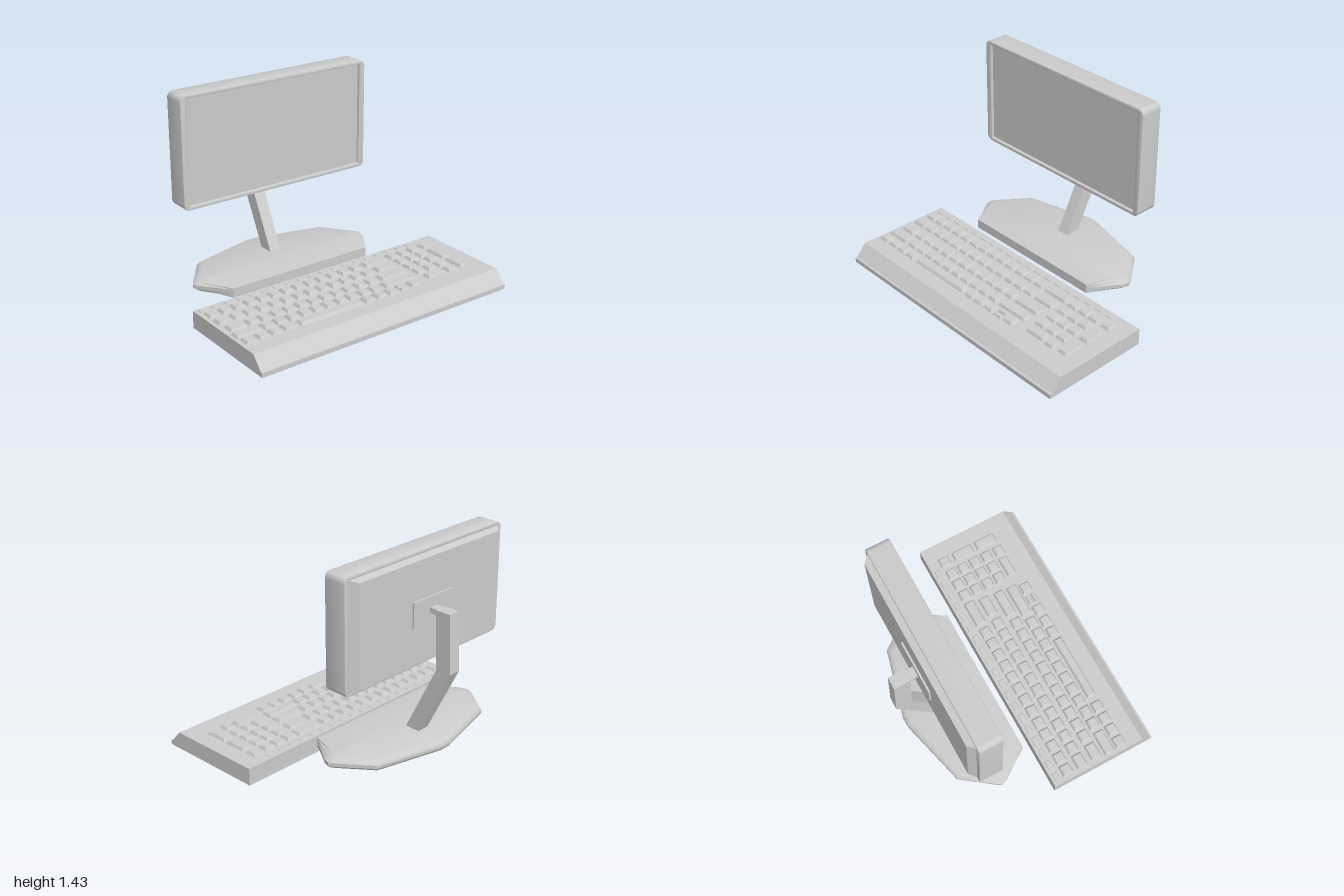
import * as THREE from 'three';
import { toCreasedNormals } from 'three/addons/utils/BufferGeometryUtils.js';

const material = new THREE.MeshStandardMaterial({ color: 0xcccccc });
const MID_Z = 0.097; // centre line of the monitor and its stand

function add(parent, name, geometry, x = 0, y = 0, z = 0) {
  const mesh = new THREE.Mesh(geometry, material);
  mesh.name = name;
  mesh.position.set(x, y, z);
  parent.add(mesh);
  return mesh;
}

// Box whose top face is smaller than its base, standing on y = 0
function frustum(w, h, d, topW, topD) {
  const g = new THREE.BoxGeometry(w, h, d).translate(0, h / 2, 0).toNonIndexed();
  const p = g.attributes.position;
  for (let i = 0; i < p.count; i++) {
    if (p.getY(i) > h / 2) p.setXYZ(i, p.getX(i) * topW / w, h, p.getZ(i) * topD / d);
  }
  g.computeVertexNormals();
  return g;
}

// Side profile in x-y, extruded between two z values
function profile(points, z0, z1) {
  const shape = new THREE.Shape(points.map(([x, y]) => new THREE.Vector2(x, y)));
  return new THREE.ExtrudeGeometry(shape, { depth: z1 - z0, bevelEnabled: false }).translate(0, 0, z0);
}

function roundedRect(path, w, h, r) {
  const x = w / 2, y = h / 2;
  path.absarc(x - r, y - r, r, 0, Math.PI / 2);
  path.absarc(-x + r, y - r, r, Math.PI / 2, Math.PI);
  path.absarc(-x + r, -y + r, r, Math.PI, Math.PI * 1.5);
  path.absarc(x - r, -y + r, r, Math.PI * 1.5, Math.PI * 2);
  path.closePath();
  return path;
}

// Stand foot: stacked outlines, rounded at the rim and flat at the front edge
function footGeometry() {
  const half = [[-0.088, 0.555], [-0.3, 0.7], [-0.34, 0.712], [-0.37, 0.695], [-0.59, 0.53], [-0.715, 0.04]];
  const ring = [...half, ...half.map(([x, z]) => [x, -z]).reverse()];
  const layers = [[0.076, 0.91], [0.088, 0.97], [0.105, 1], [0.13, 1], [0.148, 0.97], [0.16, 0.91]];
  const cx = -0.3, n = ring.length, pos = [], index = [];
  for (const [y, s] of layers) {
    for (const [x, z] of ring) {
      const front = x > -0.1;
      pos.push(front ? x : cx + (x - cx) * s, front ? 0.118 + (y - 0.118) * 0.8 : y, MID_Z + z * (front ? 1 : s));
    }
  }
  const bottom = pos.length / 3, top = bottom + 1, last = (layers.length - 1) * n;
  pos.push(cx, 0.076, MID_Z, cx, 0.163, MID_Z);
  for (let i = 0; i < n; i++) {
    const j = (i + 1) % n;
    for (let k = 0; k < last; k += n) {
      index.push(k + i, k + n + i, k + j, k + n + i, k + n + j, k + j);
    }
    index.push(bottom, i, j, top, last + j, last + i);
  }
  const g = new THREE.BufferGeometry();
  g.setAttribute('position', new THREE.Float32BufferAttribute(pos, 3));
  g.setIndex(index);
  // the ring runs from +z to +z's mirror through the back: front edge goes -z to +z
  return toCreasedNormals(g, 0.65);
}

function createMonitor() {
  const monitor = new THREE.Group();
  monitor.name = 'monitor';
  const y = 1.04;

  // Casing with an opening for the recessed screen
  const b = 0.006;
  const casing = roundedRect(new THREE.Shape(), 1.48 - 2 * b, 0.78 - 2 * b, 0.035);
  casing.holes.push(roundedRect(new THREE.Path(), 1.39 + 2 * b, 0.73 + 2 * b, 0.004));
  const casingGeometry = new THREE.ExtrudeGeometry(casing, {
    depth: 0.164 - 2 * b, bevelThickness: b, bevelSize: b, bevelSegments: 2, curveSegments: 6,
  }).translate(0, 0, b).rotateY(Math.PI / 2);
  add(monitor, 'screenCasing', toCreasedNormals(casingGeometry, 0.6), -0.521, y, MID_Z);
  add(monitor, 'screen', new THREE.BoxGeometry(0.14, 0.74, 1.4), -0.449, y, MID_Z);

  // Tapered rear panel and mounting plate
  add(monitor, 'rearPanel', frustum(0.725, 0.046, 1.41, 0.695, 1.32).rotateZ(Math.PI / 2), -0.519, y, MID_Z);
  add(monitor, 'mountPlate', new THREE.BoxGeometry(0.016, 0.174, 0.37), -0.57, y, MID_Z);

  // Bent arm with a short bracket to the plate
  add(monitor, 'standArm', profile([[-0.4, 0.15], [-0.65, 0.65], [-0.632, 1.055], [-0.748, 1.055],
    [-0.765, 0.65], [-0.51, 0.15]], 0.054, 0.14));
  add(monitor, 'armBracket', new THREE.BoxGeometry(0.065, 0.035, 0.07), -0.605, 1.037, MID_Z);
  add(monitor, 'standFoot', footGeometry());
  return monitor;
}

function createKeyboard() {
  const keyboard = new THREE.Group();
  keyboard.name = 'keyboard';
  add(keyboard, 'keyboardBody', profile([[-0.026, 0], [0.76, 0], [0.76, 0.032], [0.745, 0.036],
    [0.67, 0.12], [-0.026, 0.12]], -1, 1));

  // One key, given by its x and z ranges
  const key = (x0, x1, z0, z1, h = 0.02, inset = 0.012, name = 'key') => {
    const w = x1 - x0, d = z1 - z0;
    add(keyboard, name, frustum(w, h, d, w - 2 * inset, d - 2 * inset), (x0 + x1) / 2, 0.119, (z0 + z1) / 2);
  };
  const SIZE = 0.083, PITCH = 0.0955;

  // Low function keys along the rear edge
  for (let i = 0; i < 19; i++) {
    const z = -0.81 + i * PITCH;
    key(-0.008, 0.034, z, z + 0.065, 0.007, 0.004, 'functionKey');
  }

  // Main rows: x, wide end key [z0, z1], first z and count of the square keys, other end key
  const rows = [
    [0.056, [-0.485, -0.283], -0.257, 13],
    [0.167, [-0.464, -0.305], -0.278, 12, [0.867, 0.973]],
    [0.283, [-0.453, -0.241], -0.215, 11, [0.846, 0.963]],
    [0.384, [-0.443, -0.193], -0.167, 10, [0.798, 0.979]],
  ];
  for (const [x, wide, first, count, end] of rows) {
    key(x, x + SIZE, ...wide);
    for (let i = 0; i < count; i++) key(x, x + SIZE, first + i * PITCH, first + i * PITCH + SIZE);
    if (end) key(x, x + SIZE, ...end);
  }

  // Front row with the space bar and a split key
  for (const z of [-0.422, -0.231, -0.13, -0.034, 0.602, 0.698, 0.793, 0.889]) {
    key(0.476, 0.558, z, z + SIZE);
  }
  key(0.476, 0.515, -0.318, -0.247, 0.016, 0.008);
  key(0.52, 0.558, -0.318, -0.247, 0.016, 0.008);
  key(0.484, 0.557, 0.066, 0.565, 0.02, 0.014, 'spaceBar');

  // Number pad
  for (let r = 0; r < 3; r++) {
    for (let c = 0; c < 4; c++) {
      const x = 0.06 + c * PITCH, z = -0.777 + r * PITCH;
      key(x, x + SIZE, z, z + SIZE, 0.02, 0.012, 'numberKey');
    }
  }
  key(0.056, 0.14, -0.883, -0.804);
  key(0.167, 0.331, -0.883, -0.804);
  key(0.352, 0.516, -0.883, -0.804);
  key(0.447, 0.526, -0.772, -0.692);
  key(0.447, 0.52, -0.676, -0.517);
  return keyboard;
}

export function createModel() {
  const model = new THREE.Group();
  model.name = 'desktopComputer';
  const monitor = createMonitor();
  const foot = monitor.getObjectByName('standFoot');
  foot.material = material.clone();
  foot.material.side = THREE.DoubleSide;
  model.add(monitor, createKeyboard());
  return model;
}
